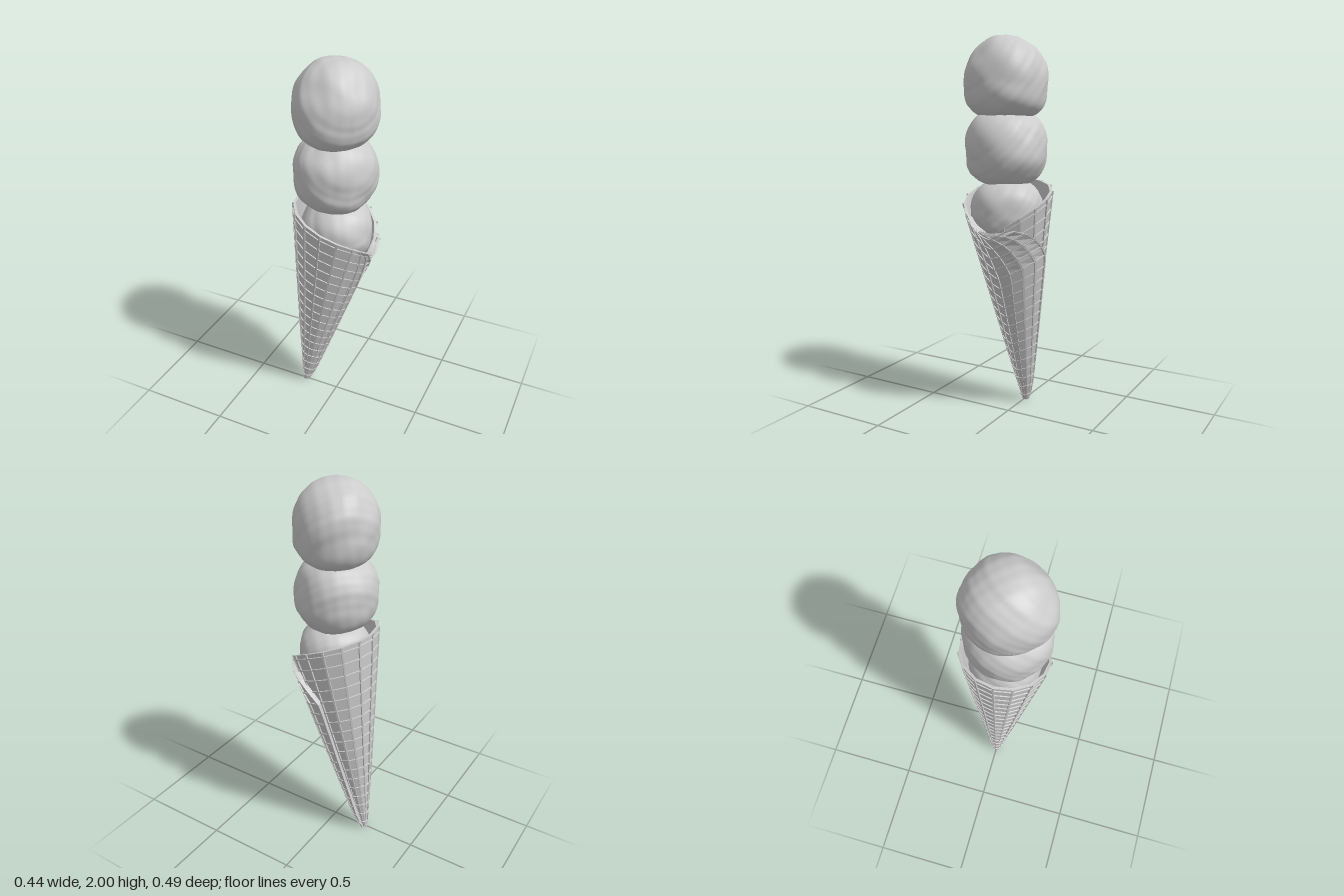
import * as THREE from 'three';
import { ParametricGeometry } from 'three/addons/geometries/ParametricGeometry.js';
import { mergeVertices } from 'three/addons/utils/BufferGeometryUtils.js';

const SIDES = 16, ROWS = 18, FLAP_SIDES = 6;
const { lerp, smoothstep, degToRad } = THREE.MathUtils;
const smooth = new THREE.MeshStandardMaterial({ color: 0xcccccc });
const faceted = new THREE.MeshStandardMaterial({ color: 0xcccccc, flatShading: true, side: THREE.DoubleSide });

// Leaning cone: t runs from the tip (0) to the slanted rim (1), off lifts away from the skin
const rimHeight = (a) => 1.0 + 0.26 * Math.abs(Math.sin(a / 2));
const radiusAt = (y) => 0.015 + 0.187 * y;
function conePoint(a, t, off, target) {
  const y = t * rimHeight(a);
  const r = Math.max(0.003, radiusAt(y) + off);
  return target.set(-0.215 + radiusAt(y) + r * Math.cos(a), y, r * Math.sin(a));
}

// Two skins of the rolled wafer, each mapping (u around, t up, lift) to a point
const wallSkin = (u, t, lift, target) => conePoint(u * Math.PI * 2, t, lift, target);
function flapSkin(u, t, lift, target) {
  const edge = degToRad(-88) * Math.min(1, 2 * Math.sqrt(Math.max(0, 1 - t)));
  const a = lerp(degToRad(40), edge, u);
  const raise = lerp(0.002, 0.023, smoothstep(u, 0, 0.7)) * smoothstep(t, -0.1, 0.12);
  return conePoint(a, t, raise + lift, target);
}

function createModel() {
  const model = new THREE.Group();
  const cone = new THREE.Group();
  cone.name = 'waferCone';
  model.add(cone);

  function add(parent, name, geometry, material) {
    const mesh = new THREE.Mesh(geometry, material);
    mesh.name = name;
    parent.add(mesh);
    return mesh;
  }
  const patch = (name, f, nu, nv) => add(cone, name, new ParametricGeometry(f, nu, nv), faceted);

  // Cone wall with thickness: outside, rim and inside in one section
  const section = [[0, -0.014], [0, 0], [1, 0], [1, -0.014], [0.05, -0.014]];
  patch('coneWall', (u, v, p) => {
    const [t, off] = section[Math.round(v * 4)];
    wallSkin(u, t, off, p);
  }, SIDES, 4);

  // Overlapping flap and its exposed edge and top
  patch('overlapFlap', (u, v, p) => flapSkin(u, v, 0, p), FLAP_SIDES, 24);
  patch('flapEdge', (u, v, p) => flapSkin(1, v, -0.025 * u, p), 1, 24);
  patch('flapRim', (u, v, p) => flapSkin(u, 1, -0.025 * v, p), FLAP_SIDES, 1);

  // Raised waffle grid on both skins
  const profile = [[-1, -0.004], [-0.7, 0.006], [0.7, 0.006], [1, -0.004]];
  function waffle(name, skin, sides, closed) {
    for (let i = closed ? 0 : 1; i < sides + (closed ? 0 : 1); i++) {
      patch(name + 'LongRidge', (s, v, p) => {
        const [w, h] = profile[Math.round(v * 3)];
        const t = lerp(0.02, 1, s);
        const arc = closed ? Math.PI * 2 : 1.9;
        const du = Math.min(0.12 / sides, 0.0055 / radiusAt(t * 1.1) / arc);
        skin(i / sides + w * du, t, h * Math.min(1, 0.3 + t * 2), p);
      }, 24, 3);
    }
    for (let j = 1; j <= ROWS; j++) {
      patch(name + 'CrossRidge', (u, v, p) => {
        const [w, h] = profile[Math.round(v * 3)];
        skin(u, (j - 0.4) / ROWS + w * 0.0048, h, p);
      }, sides, 3);
    }
  }
  waffle('wall', wallSkin, SIDES, true);
  waffle('flap', flapSkin, FLAP_SIDES, false);

  // Lumpy scoop: squared-off ball with soft waves and a few dents or bulges
  function scoop(name, { pos, rx, rz, up, down, pUp, pDown, seed, lumps }) {
    const geo = new THREE.IcosahedronGeometry(1, 30);
    geo.deleteAttribute('uv');
    geo.deleteAttribute('normal');
    const ball = mergeVertices(geo, 1e-4);
    const at = ball.attributes.position, d = new THREE.Vector3();
    const spots = lumps.map(([x, y, z, amount, size]) => ({ dir: new THREE.Vector3(x, y, z).normalize(), amount, size }));
    for (let i = 0; i < at.count; i++) {
      d.fromBufferAttribute(at, i).normalize();
      const p = d.y > 0 ? pUp : pDown;
      let k = Math.pow(Math.pow(Math.hypot(d.x, d.z), p) + Math.pow(Math.abs(d.y), p), -1 / p);
      k += 0.018 * Math.sin(4.1 * d.x + 3 * d.y + seed) * Math.sin(3.7 * d.z - 2 * d.y + 2 * seed);
      k += 0.012 * Math.sin(8 * d.y + 5 * d.x + 3 * seed) * Math.sin(7 * d.z + 4 * d.x + seed);
      k += 0.005 * Math.sin(17 * d.x + 9 * d.y + seed) * Math.sin(15 * d.z + 11 * d.y);
      for (const s of spots) k += s.amount * Math.exp(-(1 - s.dir.dot(d)) / s.size);
      at.setXYZ(i, d.x * k * rx, d.y * k * (d.y > 0 ? up : down), d.z * k * rz);
    }
    ball.computeVertexNormals();
    add(model, name, ball, smooth).position.set(...pos);
  }

  scoop('bottomScoop', {
    pos: [0.005, 1.1, 0], rx: 0.188, rz: 0.19, up: 0.18, down: 0.17, pUp: 2.4, pDown: 2, seed: 1.3,
    lumps: [[1, 0.6, 0.5, 0.03, 0.1], [1, 0.1, -0.6, -0.04, 0.08]],
  });
  scoop('middleScoop', {
    pos: [0.003, 1.43, 0.012], rx: 0.209, rz: 0.216, up: 0.2, down: 0.19, pUp: 2.5, pDown: 2.5, seed: 4.2,
    lumps: [[0.5, -0.2, 1, -0.05, 0.04], [1, -0.5, 0.2, -0.05, 0.05], [-0.3, 0.2, 1, 0.03, 0.1], [0.4, 0.5, -1, -0.05, 0.05]],
  });
  scoop('topScoop', {
    pos: [0.003, 1.77, 0.012], rx: 0.207, rz: 0.214, up: 0.228, down: 0.185, pUp: 2.15, pDown: 3, seed: 2.6,
    lumps: [[0, -0.25, 1, 0.06, 0.12], [0.75, 0.6, 0.5, -0.05, 0.04], [0, 0.7, 0.8, -0.04, 0.05], [0, -0.85, -0.8, 0.06, 0.05]],
  });
  return model;
}

export { createModel };
